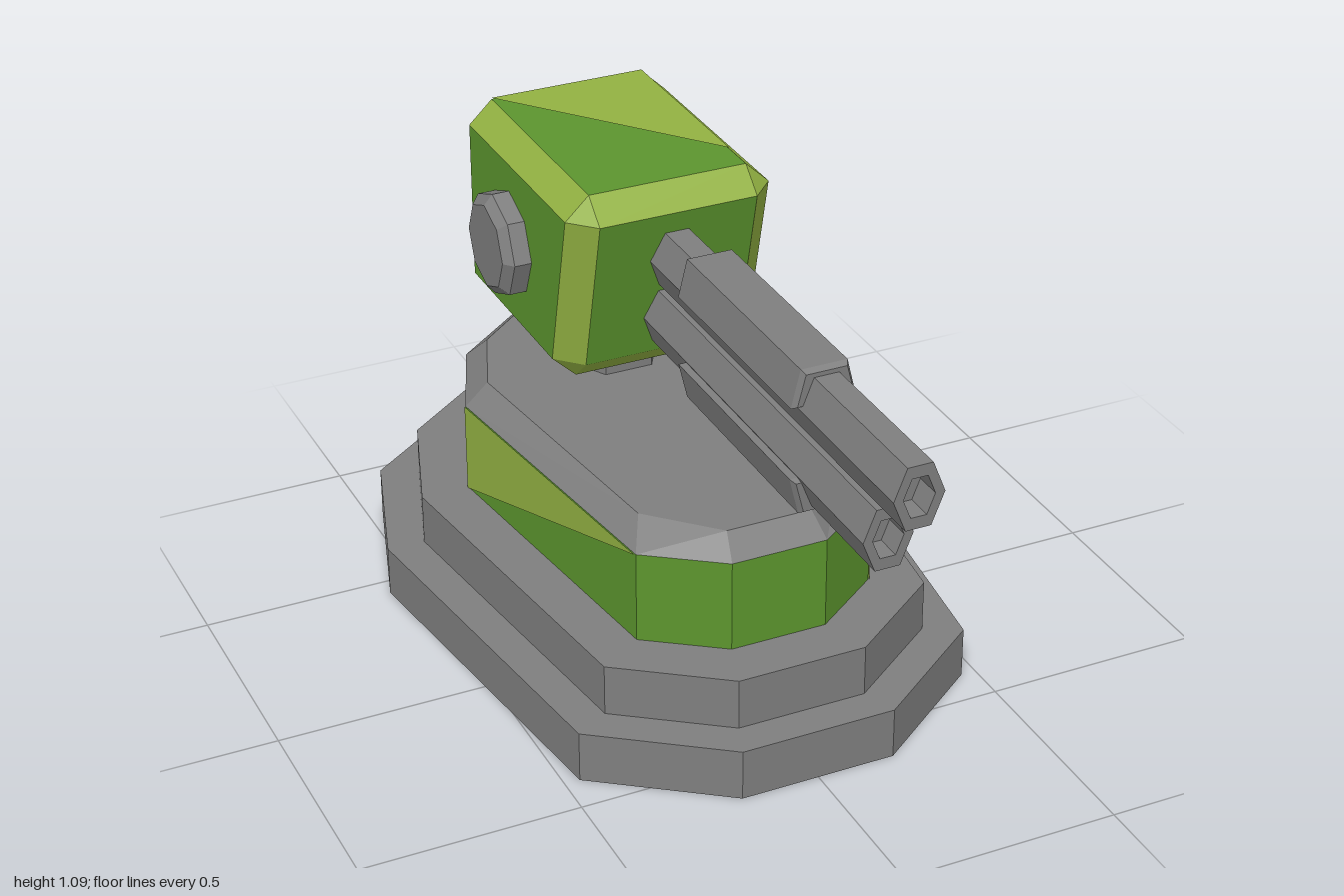
import * as THREE from 'three';

const material = (name, color) => {
  const m = new THREE.MeshStandardMaterial({ color, flatShading: true, side: THREE.DoubleSide });
  m.name = name;
  return m;
};

// Flat polygons (arrays of [x, y, z]) fanned from their first corner
function facets(polys) {
  const pos = [];
  for (const p of polys)
    for (let i = 1; i < p.length - 1; i++) pos.push(...p[0], ...p[i], ...p[i + 1]);
  const g = new THREE.BufferGeometry();
  g.setAttribute('position', new THREE.Float32BufferAttribute(pos, 3));
  g.computeVertexNormals();
  return g;
}

// Turn a polygon so that it faces away from a centre
function outward(p, centre) {
  const [a, b, c] = p.map((v) => new THREE.Vector3(...v));
  const n = b.clone().sub(a).cross(c.clone().sub(a));
  return n.dot(a.sub(centre)) < 0 ? p.slice().reverse() : p;
}

// Ten-sided plan outline, from half widths and depths (front to back)
function outline([x1, x2, x3], [f1, f2, w, b2, b1]) {
  const half = [[x1, f1], [x2, f2], [x3, w], [x2, b2], [x1, b1]];
  return [...half, ...half.map(([x, z]) => [-x, z]).reverse()];
}

// Walls between two outlines at two heights
function band(a, ya, b, yb) {
  return a.map((p, i) => {
    const j = (i + 1) % a.length;
    return [[p[0], ya, p[1]], [a[j][0], ya, a[j][1]], [b[j][0], yb, b[j][1]], [b[i][0], yb, b[i][1]]];
  });
}

export function createModel() {
  const model = new THREE.Group();
  model.name = 'turret';
  const grey = material('grey metal', 0x7e7e7e);
  const green = material('green paint', 0x5c952e);
  const lime = material('lime paint', 0x92b142);
  const add = (name, geometry, mat, parent = model) => {
    const mesh = new THREE.Mesh(geometry, mat);
    mesh.name = name;
    parent.add(mesh);
    return mesh;
  };

  // Stepped hollow base
  const r1 = outline([0.18, 0.465, 0.573], [0.617, 0.41, -0.45, -0.79, -1]);
  const r2 = outline([0.15, 0.385, 0.485], [0.535, 0.365, -0.445, -0.738, -0.915]);
  const r3 = outline([0.112, 0.28, 0.371], [0.42, 0.3, -0.44, -0.668, -0.802]);
  const r4 = outline([0.1, 0.24, 0.316], [0.368, 0.225, -0.44, -0.63, -0.745]);
  add('baseSteps', facets([
    ...band(r1, 0, r1, 0.12), ...band(r1, 0.12, r2, 0.12),
    ...band(r2, 0.12, r2, 0.24), ...band(r2, 0.24, r3, 0.24),
  ]), grey);
  add('bodyWall', facets(band(r3, 0.24, r3, 0.455)), green);
  add('bodyRoof', facets([...band(r3, 0.455, r4, 0.505), r4.map(([x, z]) => [x, 0.505, z])]), grey);

  // Painted highlights on the long body sides, given as [z, y]
  const sidePatch = (s, pts) => pts.map(([z, y]) => [s * (0.374 - (z + 0.44) * 0.091 / 0.74), y, z]);
  const middle = new THREE.Vector3(0, 0.35, -0.1);
  const patches = {
    leftBodyHighlight: sidePatch(1, [[0.3, 0.24], [0.3, 0.455], [0.26, 0.375], [0.2, 0.31], [-0.3, 0.245], [-0.32, 0.24]]),
    rightBodyHighlight: sidePatch(-1, [[-0.44, 0.455], [0.3, 0.455], [0.1, 0.43], [-0.34, 0.37], [-0.4, 0.31], [-0.44, 0.24]]),
  };
  for (const [name, p] of Object.entries(patches)) add(name, facets([outward(p, middle)]), lime);

  // Neck
  add('neck', new THREE.CylinderGeometry(0.115, 0.115, 0.14, 6, 1, false, Math.PI / 6), grey)
    .position.set(0, 0.56, -0.457);

  // Chamfered head with a sloping front; each corner has one point per adjoining face
  const centre = new THREE.Vector3(0, 0.84, -0.45);
  const point = (s, axis) => {
    const x = s[0] * (axis === 0 ? 0.242 : 0.186);
    const y = 0.842 + s[1] * (axis === 1 ? 0.241 : 0.188);
    const slope = -0.08 - (1.03 - THREE.MathUtils.clamp(y, 0.654, 1.03)) * 0.24;
    const z = s[2] > 0 ? slope - (axis === 2 ? 0 : 0.058) : (axis === 2 ? -0.745 : -0.687);
    return [x, y, z];
  };
  const panels = [], chamfers = [];
  const sign = (a, sa, b, sb, c, sc) => {
    const s = [];
    s[a] = sa; s[b] = sb; s[c] = sc;
    return s;
  };
  for (let a = 0; a < 3; a++) {
    const b = (a + 1) % 3, c = (a + 2) % 3;
    for (const sa of [-1, 1]) {
      panels.push([[-1, -1], [1, -1], [1, 1], [-1, 1]].map(([u, v]) => point(sign(a, sa, b, u, c, v), a)));
      for (const sb of [-1, 1]) {
        const lo = sign(a, sa, b, sb, c, -1), hi = sign(a, sa, b, sb, c, 1);
        chamfers.push([point(lo, a), point(hi, a), point(hi, b), point(lo, b)]);
      }
    }
  }
  for (let i = 0; i < 8; i++) {
    const s = [i & 1, i & 2, i & 4].map((v) => (v ? 1 : -1));
    chamfers.push([0, 1, 2].map((axis) => point(s, axis)));
  }
  const head = new THREE.Group();
  head.name = 'head';
  model.add(head);
  add('headPanels', facets(panels.map((p) => outward(p, centre))), green, head);
  add('headChamfers', facets(chamfers.map((p) => outward(p, centre))), lime, head);
  const top = [[0.186, -0.687], [0.186, -0.22], [0.118, -0.56], [0.1, -0.59], [0.06, -0.61], [-0.186, -0.687]];
  add('headTopHighlight', facets([outward(top.map(([x, z]) => [x, 1.086, z]), centre)]), lime, head);

  // Octagonal pivot caps on the head sides
  const lathe = (pts, sides) =>
    new THREE.LatheGeometry(pts.map((p) => new THREE.Vector2(...p)), sides).toNonIndexed();
  for (const s of [-1, 1]) {
    const cap = add(s > 0 ? 'leftPivotCap' : 'rightPivotCap',
      lathe([[0.123, 0], [0.123, 0.047], [0.1, 0.067], [0, 0.067]], 8), grey, head);
    cap.rotation.z = -s * Math.PI / 2;
    cap.position.set(s * 0.235, 0.842, -0.457);
  }

  // Twin hollow hexagonal barrels with half jackets
  for (const [name, y, tip, s] of [['upper', 0.91, 1, 1], ['lower', 0.753, 0.885, -1]]) {
    const length = tip + 0.25;
    const g = lathe([[0, 0], [1, 0], [1, length], [0.62, length], [0.62, length - 0.06], [0, length - 0.06]], 6);
    g.rotateY(Math.PI / 6);
    g.rotateX(Math.PI / 2);
    g.scale(0.056, 0.081, 1);
    g.computeVertexNormals();
    add(name + 'Barrel', g, grey).position.set(0, y, -0.25);

    const jacket = new THREE.Shape([[-0.064, 0.01], [0.064, 0.01], [0.046, 0.08], [-0.046, 0.08]]
      .map(([u, v]) => new THREE.Vector2(u, s * v)));
    add(name + 'Jacket', new THREE.ExtrudeGeometry(jacket, {
      depth: 0.53, bevelEnabled: true, bevelThickness: 0.012, bevelSize: 0.008, bevelSegments: 1,
    }), grey).position.set(0, y, 0.07);
  }
  return model;
}
